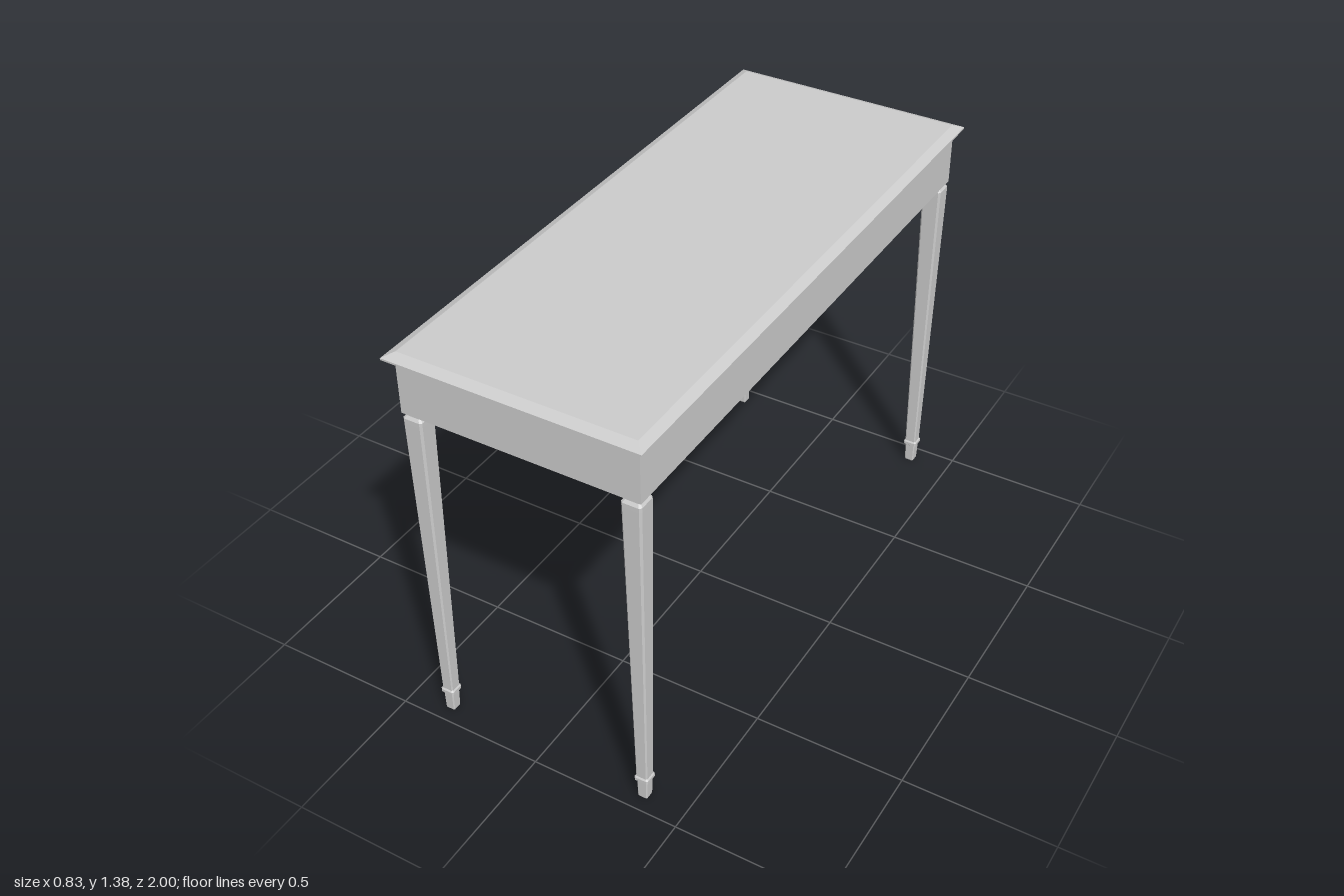
import * as THREE from 'three';

const material = new THREE.MeshStandardMaterial({ color: 0xcccccc, flatShading: true });

function add(parent, name, geometry, x = 0, y = 0, z = 0) {
  const mesh = new THREE.Mesh(geometry, material);
  mesh.name = name;
  mesh.position.set(x, y, z);
  parent.add(mesh);
  return mesh;
}

// Rectangle outline (half sizes hx, hz) with optionally chamfered corners, at height y
function ring(y, hx, hz, c = 0) {
  const corners = c
    ? [[hx, hz - c], [hx - c, hz], [c - hx, hz], [-hx, hz - c], [-hx, c - hz], [c - hx, -hz], [hx - c, -hz], [hx, c - hz]]
    : [[hx, hz], [-hx, hz], [-hx, -hz], [hx, -hz]];
  return corners.map(([x, z]) => [x, y, z]);
}

// Closed solid through a stack of rings, bottom to top
function loft(rings) {
  const pos = [];
  const tri = (a, b, c) => pos.push(...a, ...b, ...c);
  const n = rings[0].length;
  for (let r = 0; r < rings.length - 1; r++) {
    for (let i = 0; i < n; i++) {
      const j = (i + 1) % n;
      const [a, b, c, d] = [rings[r][i], rings[r][j], rings[r + 1][j], rings[r + 1][i]];
      tri(a, d, c);
      tri(a, c, b);
    }
  }
  const bottom = rings[0], top = rings[rings.length - 1];
  for (let i = 1; i < n - 1; i++) {
    tri(bottom[0], bottom[i], bottom[i + 1]);
    tri(top[0], top[i + 1], top[i]);
  }
  const g = new THREE.BufferGeometry();
  g.setAttribute('position', new THREE.Float32BufferAttribute(pos, 3));
  g.computeVertexNormals();
  return g;
}

// Rectangular moulding lying in the xy plane
function frame(w, h, border, depth) {
  const rect = (path, a, b) => path.moveTo(-a, -b).lineTo(a, -b).lineTo(a, b).lineTo(-a, b).closePath();
  const s = rect(new THREE.Shape(), w / 2, h / 2);
  s.holes.push(rect(new THREE.Path(), w / 2 - border, h / 2 - border));
  return new THREE.ExtrudeGeometry(s, { depth, bevelEnabled: false });
}

// Drawer front facing +z: raised border, inner panel and a pull handle
function createDrawer(w, h) {
  const drawer = new THREE.Group();
  drawer.name = 'drawer';
  add(drawer, 'drawerBorder', frame(w, h, 0.018, 0.005));
  add(drawer, 'drawerPanel', new THREE.BoxGeometry(w - 0.05, h - 0.05, 0.003), 0, 0, 0.0015);
  add(drawer, 'handlePlate', new THREE.BoxGeometry(0.12, 0.03, 0.003), 0, 0, 0.004);
  const curve = new THREE.CatmullRomCurve3([
    [-0.045, 0.006, 0.004], [-0.043, -0.004, 0.009], [-0.025, -0.01, 0.01],
    [0.025, -0.01, 0.01], [0.043, -0.004, 0.009], [0.045, 0.006, 0.004],
  ].map(p => new THREE.Vector3(...p)));
  add(drawer, 'handleBail', new THREE.TubeGeometry(curve, 20, 0.003, 6));
  return drawer;
}

export function createModel() {
  const table = new THREE.Group();
  table.name = 'writingTable';

  // Top slab with a bevelled rim
  add(table, 'tableTop', loft([
    ring(1.357, 0.41, 0.995), ring(1.36, 0.415, 1), ring(1.366, 0.415, 1),
    ring(1.378, 0.39, 0.973), ring(1.38, 0.385, 0.968),
  ]));

  // Apron box
  add(table, 'apron', new THREE.BoxGeometry(0.78, 0.187, 1.94), 0, 1.2655, 0);

  // Two drawers along the -x side
  for (const s of [-1, 1]) {
    const drawer = createDrawer(0.89, 0.142);
    drawer.rotation.y = -Math.PI / 2;
    drawer.position.set(-0.39, 1.265, s * 0.458);
    table.add(drawer);
  }

  // Tapered chamfered legs: [height, half width]
  const profile = [
    [0, 0.0145], [0.004, 0.0165], [0.07, 0.018], [0.075, 0.0235], [0.086, 0.0235], [0.091, 0.0195],
    [1.14, 0.0325], [1.155, 0.0325], [1.164, 0.025], [1.18, 0.024],
  ];
  const leg = loft(profile.map(([y, h]) => ring(y, h, h, h * 0.2)));
  for (const x of [-1, 1]) {
    for (const z of [-1, 1]) {
      add(table, `${z > 0 ? 'front' : 'back'}${x > 0 ? 'Left' : 'Right'}Leg`, leg, x * 0.357, 0, z * 0.938);
    }
  }
  return table;
}
